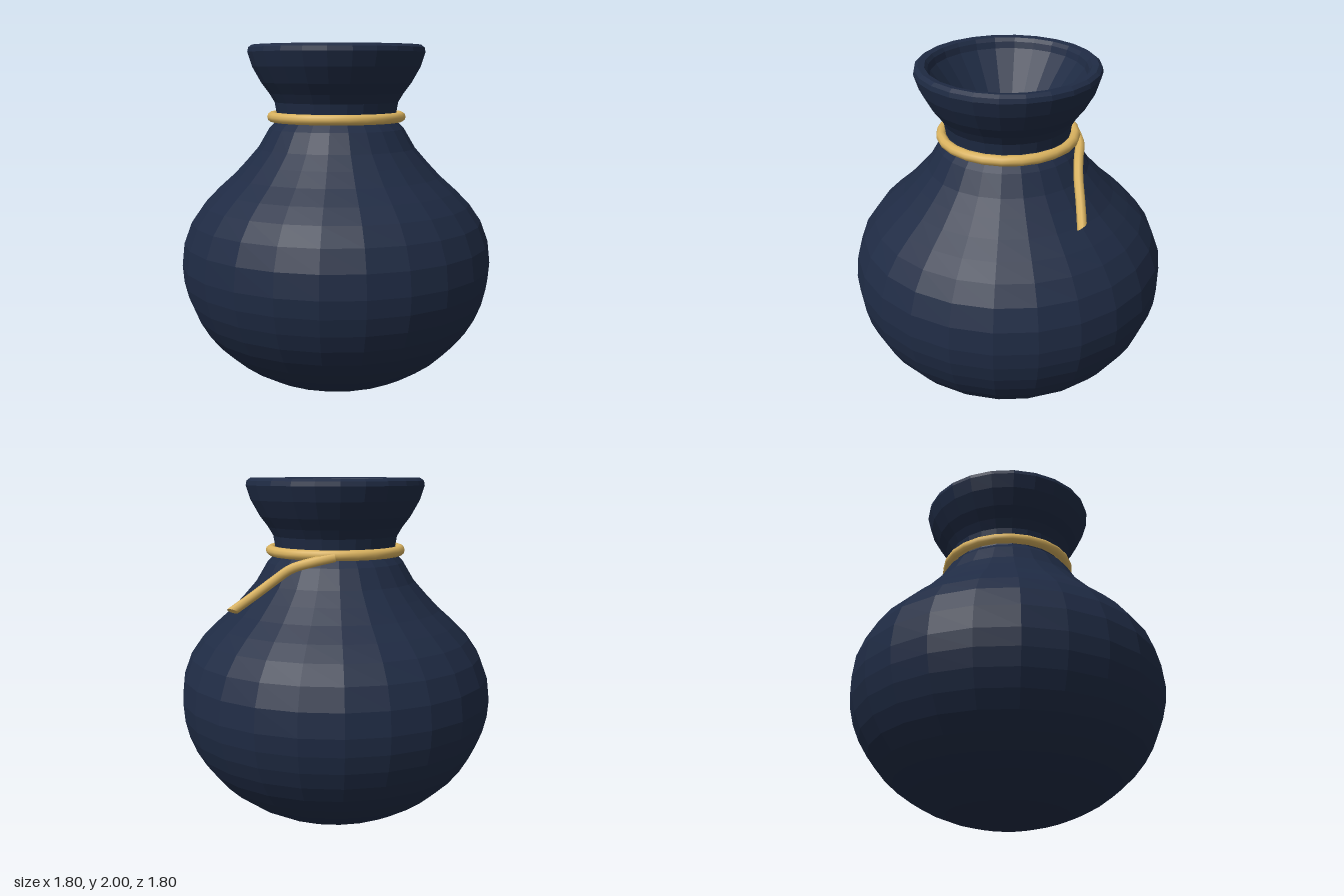
import * as THREE from 'three';

const SIDES = 24;

export function createModel() {
  const group = new THREE.Group();
  const cloth = new THREE.MeshStandardMaterial({ color: 0x1f2b44, flatShading: true, side: THREE.DoubleSide });
  const cord = new THREE.MeshStandardMaterial({ color: 0xd9b25f, side: THREE.DoubleSide });

  const add = (name, geometry, material) => {
    const mesh = new THREE.Mesh(geometry, material);
    mesh.name = name;
    group.add(mesh);
    return mesh;
  };

  // Sack: elliptical belly, shoulder, neck, flared lip and funnel-shaped mouth
  const profile = [];
  for (let i = 0; i <= 12; i++) {
    const a = (i / 12) * Math.PI / 2;
    profile.push([0.9 * Math.sin(a), 0.75 - 0.75 * Math.cos(a)]);
  }
  profile.push(
    [0.885, 0.88], [0.84, 1.0], [0.77, 1.1], [0.69, 1.18], [0.6, 1.26], [0.525, 1.34],
    [0.455, 1.42], [0.39, 1.53], [0.35, 1.57], [0.345, 1.62], [0.355, 1.68], [0.385, 1.73],
    [0.43, 1.79], [0.48, 1.88], [0.505, 1.96], [0.5, 1.985], [0.48, 2.0],
    [0.445, 1.995], [0.43, 1.975], [0.42, 1.94], [0.09, 1.5], [0, 1.5],
  );
  add('sack', new THREE.LatheGeometry(profile.map(([r, y]) => new THREE.Vector2(r, y)), SIDES), cloth);

  // Cord tied around the neck
  const ring = add('neckCord', new THREE.TorusGeometry(0.37, 0.029, 10, SIDES), cord);
  ring.rotation.x = Math.PI / 2;
  ring.position.y = 1.597;

  // Loose cord end lying over the shoulder, cut at a slant
  const path = new THREE.CatmullRomCurve3([
    [0.28, 1.59, -0.25], [0.36, 1.565, -0.17], [0.42, 1.525, -0.06],
    [0.47, 1.46, 0.02], [0.54, 1.375, 0.11], [0.61, 1.29, 0.205],
  ].map((p) => new THREE.Vector3(...p)));
  const segments = 20, radial = 8;
  const tail = new THREE.TubeGeometry(path, segments, 0.026, radial);
  const end = path.getPoint(1), dir = path.getTangent(1);
  const cut = new THREE.Plane().setFromNormalAndCoplanarPoint(new THREE.Vector3(0.6, -0.8, -0.08).normalize(), end);
  const pos = tail.attributes.position, v = new THREE.Vector3(), rim = [];
  for (let i = segments * (radial + 1); i < pos.count; i++) {
    v.fromBufferAttribute(pos, i);
    v.addScaledVector(dir, -cut.distanceToPoint(v) / cut.normal.dot(dir));
    pos.setXYZ(i, v.x, v.y, v.z);
    rim.push(v.clone());
  }
  add('cordTail', tail, cord);

  // Flat cap on the cut end
  const cap = new THREE.BufferGeometry().setFromPoints(
    rim.slice(1).flatMap((p, i) => [end, rim[i], p]),
  );
  cap.computeVertexNormals();
  add('cordTailCap', cap, cord);

  return group;
}
